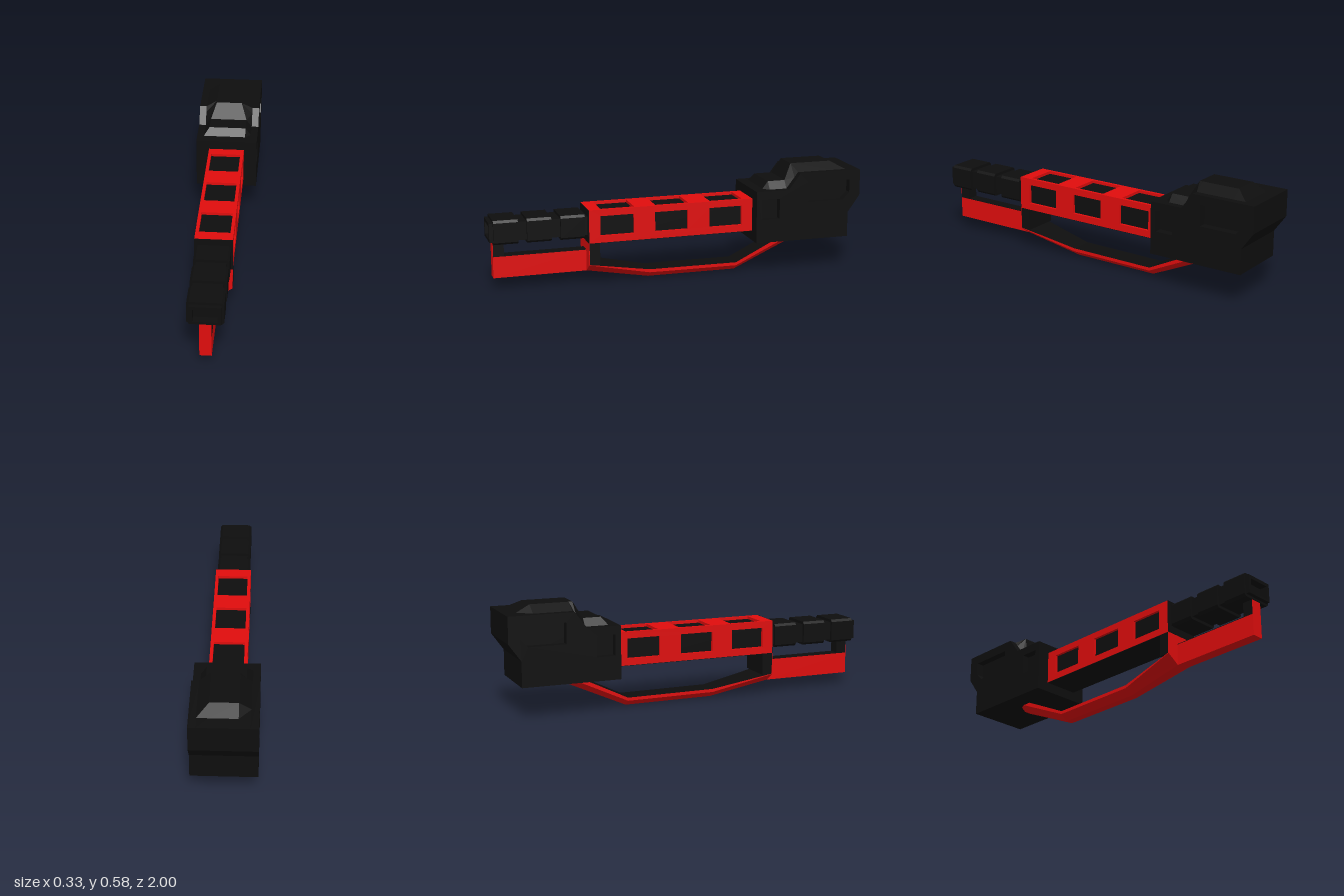
import * as THREE from 'three';

const mat = (color) => new THREE.MeshStandardMaterial({ color, flatShading: true, side: THREE.DoubleSide });

export function createModel() {
  const model = new THREE.Group();
  const red = mat(0xe00d0d);
  const black = mat(0x0e0e0e);

  const add = (name, geometry, material) => {
    const mesh = new THREE.Mesh(geometry, material);
    mesh.name = name;
    model.add(mesh);
    return mesh;
  };

  // Box given by its limits on each axis
  const box = (name, material, [x0, x1], [y0, y1], [z0, z1]) => {
    const g = new THREE.BoxGeometry(x1 - x0, y1 - y0, z1 - z0);
    g.translate((x0 + x1) / 2, (y0 + y1) / 2, (z0 + z1) / 2);
    return add(name, g, material);
  };

  const prism = (points, holes, depth) => {
    const v = (list) => list.map(([a, b]) => new THREE.Vector2(a, b));
    const shape = new THREE.Shape(v(points));
    holes.forEach((h) => shape.holes.push(new THREE.Path(v(h))));
    return new THREE.ExtrudeGeometry(shape, { depth, bevelEnabled: false });
  };
  const rect = (a0, a1, b0, b1) => [[a0, b0], [a1, b0], [a1, b1], [a0, b1]];

  // Side profile in (z, y), extruded from x0 to x1
  const flip = (list) => list.map(([z, y]) => [-z, y]);
  const sideProfile = (points, holes, x0, x1) =>
    prism(flip(points), holes.map(flip), x1 - x0).rotateY(Math.PI / 2).translate(x0, 0, 0);

  // Rectangle with cut corners, extruded along z
  const cutRect = (w, y0, y1, c) => [
    [-w + c, y0], [w - c, y0], [w, y0 + c], [w, y1 - c],
    [w - c, y1], [-w + c, y1], [-w, y1 - c], [-w, y0 + c],
  ];

  // Flat-faced skin through matching rows of points
  const skin = (rows) => {
    const pos = [];
    for (let i = 0; i < rows.length - 1; i++) {
      for (let j = 0; j < rows[i].length - 1; j++) {
        const a = rows[i][j], b = rows[i][j + 1], c = rows[i + 1][j + 1], d = rows[i + 1][j];
        pos.push(...a, ...b, ...c, ...a, ...c, ...d);
      }
    }
    const g = new THREE.BufferGeometry();
    g.setAttribute('position', new THREE.Float32BufferAttribute(pos, 3));
    g.computeVertexNormals();
    return g;
  };

  // Rear housing: core with pocketed side plates
  const housing = [
    [-0.41, 0.175], [-0.41, 0.455], [-0.59, 0.455], [-0.655, 0.54],
    [-1, 0.54], [-1, 0.4], [-0.935, 0.31], [-0.935, 0.175],
  ];
  const pockets = [
    [[-0.7, 0.38], [-0.7, 0.49], [-0.94, 0.49], [-0.94, 0.42], [-0.9, 0.38]],
    rect(-0.54, -0.44, 0.3, 0.41),
  ];
  add('housingCore', sideProfile(housing, [], -0.127, 0.127), black);
  add('housingSideLeft', sideProfile(housing, pockets, 0.127, 0.167), black);
  add('housingSideRight', sideProfile(housing, pockets, -0.167, -0.127), black);

  // Chamfered ridge on the housing: z, base y, top y, top half-width
  const ridge = [
    [-0.465, 0.455, 0.455, 0.1], [-0.495, 0.455, 0.495, 0.1], [-0.59, 0.455, 0.495, 0.1],
    [-0.635, 0.514, 0.578, 0.07], [-0.655, 0.54, 0.578, 0.07],
    [-0.86, 0.54, 0.578, 0.07], [-0.93, 0.54, 0.54, 0.07],
  ];
  add('housingRidge', skin(ridge.map(([z, y0, y1, w]) =>
    [[-0.13, y0, z], [-w, y1, z], [w, y1, z], [0.13, y0, z]])), black);

  // Handguard: dark core under red plates with three windows each
  const starts = [0.425, 0.13, -0.17];
  const sideWindows = starts.map((z) => rect(z - 0.18, z, 0.265, 0.37));
  const sideFrame = rect(-0.41, 0.485, 0.228, 0.405);
  box('handguardCore', black, [-0.082, 0.082], [0.228, 0.39], [-0.41, 0.485]);
  add('handguardSideLeft', sideProfile(sideFrame, sideWindows, 0.082, 0.097), red);
  add('handguardSideRight', sideProfile(sideFrame, sideWindows, -0.097, -0.082), red);
  const topWindows = starts.map((z) => rect(-0.08, 0.08, -z + 0.005, -z + 0.185));
  add('handguardTop', prism(rect(-0.082, 0.082, -0.485, 0.41), topWindows, 0.015)
    .rotateX(-Math.PI / 2).translate(0, 0.39, 0), red);
  box('handguardFrontCap', black, [-0.097, 0.097], [0.228, 0.405], [0.485, 0.488]);
  box('handguardBase', black, [-0.096, 0.096], [0.226, 0.23], [-0.41, 0.485]);

  // Ribbed barrel with a hollow tip
  box('barrelCore', black, [-0.075, 0.075], [0.27, 0.367], [0.48, 0.96]);
  add('barrelTip', prism(rect(-0.077, 0.077, 0.268, 0.368),
    [rect(-0.06, 0.06, 0.282, 0.35)], 0.04).translate(0, 0, 0.96), black);
  for (const z of [0.505, 0.68]) {
    add('barrelRib', prism(cutRect(0.09, 0.255, 0.382, 0.012), [], 0.127).translate(0, 0, z), black);
  }
  add('barrelRib', prism(cutRect(0.09, 0.255, 0.382, 0.012),
    [rect(-0.06, 0.06, 0.282, 0.35)], 0.127).translate(0, 0, 0.853), black);

  // Lower rail with dark top, and the post that carries the barrel
  box('lowerRail', red, [-0.03, 0.03], [0.065, 0.178], [0.48, 0.978]);
  box('lowerRailTop', black, [-0.03, 0.03], [0.178, 0.181], [0.48, 0.976]);
  box('frontPost', black, [-0.03, 0.03], [0.18, 0.262], [0.92, 0.976]);
  box('frontPostFace', red, [-0.03, 0.03], [0.178, 0.255], [0.976, 0.978]);

  // Bracket joining handguard and strap
  box('bracket', black, [-0.096, 0.096], [0.11, 0.23], [0.428, 0.484]);
  add('bracketFace', prism([
    [-0.03, 0.065], [0.03, 0.065], [0.097, 0.11], [0.097, 0.228], [-0.097, 0.228], [-0.097, 0.11],
  ], [], 0.003).translate(0, 0, 0.484), red);

  // Curved strap: z, top y, corner y, bottom y, half-width, bottom half-width
  const strap = [
    [0.485, 0.113, 0.11, 0.065, 0.097, 0.03],
    [0.15, 0.05, 0.033, 0.002, 0.06, 0.02],
    [-0.335, 0.047, 0.03, 0, 0.06, 0.02],
    [-0.68, 0.215, 0.19, 0.155, 0.06, 0.02],
  ];
  const strapRows = strap.map(([z, t, c, b, w, v]) =>
    [[w, t, z], [w, c, z], [v, b, z], [-v, b, z], [-w, c, z], [-w, t, z]]);
  add('strap', skin(strapRows), red);
  add('strapTop', skin(strapRows.map((r) => [r[5], r[0]])), black);
  const end = strapRows[3];
  add('strapEnd', skin([[end[0], end[1], end[2]], [end[5], end[4], end[3]]]), red);

  return model;
}
